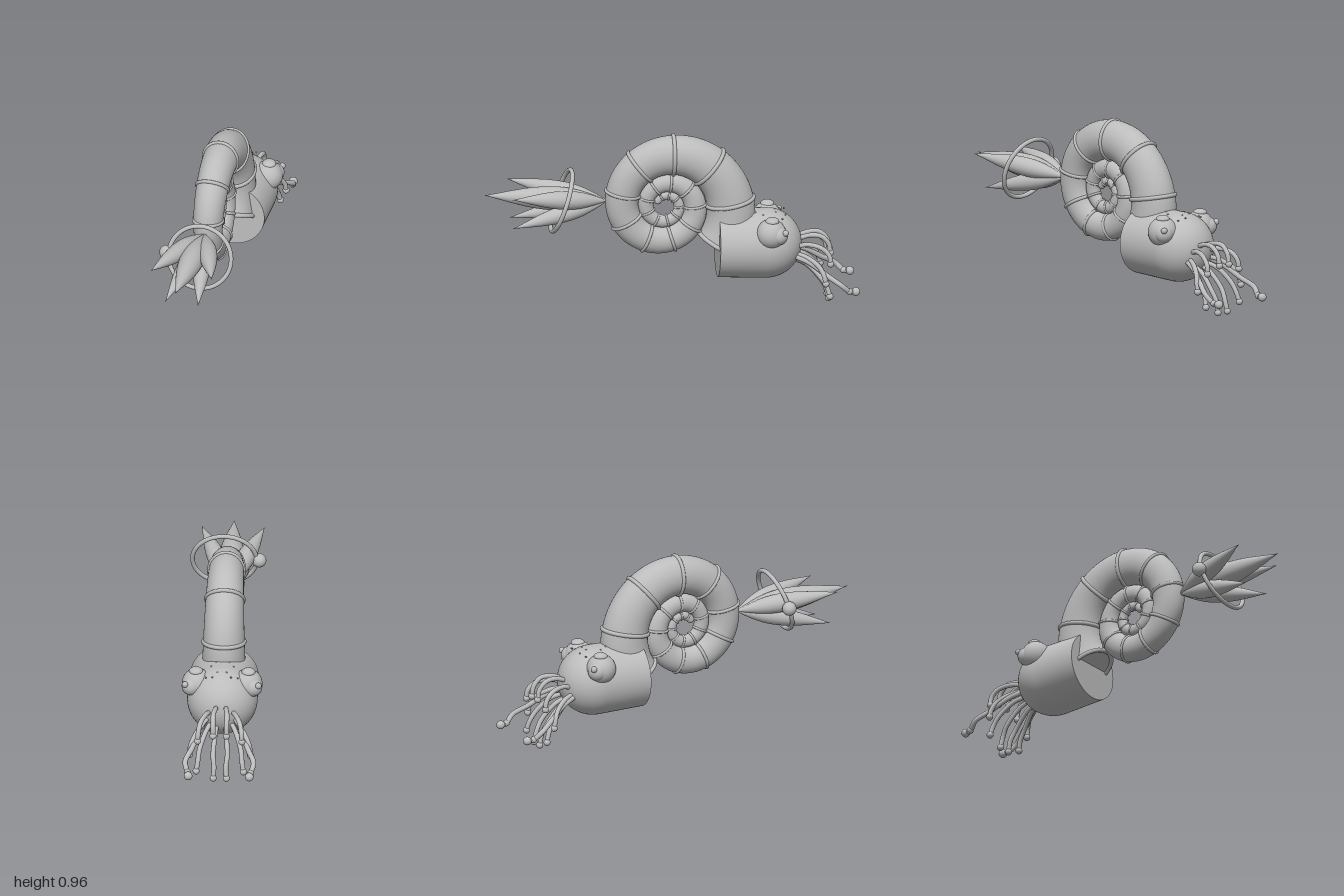
import * as THREE from 'three';

const V = (x, y, z) => new THREE.Vector3(x, y, z);
const X = V(1, 0, 0);
const FLAT = 0.87; // shell tube is slightly narrower sideways

// Point, tube radius and frame of the shell spiral; q counts quarter turns
function spiral(q) {
  const at = (s) => {
    const R = 0.347 * Math.pow(0.82, s), a = s * Math.PI / 2;
    return V(0, 0.56 + R * Math.sin(a), 0.027 - R * Math.cos(a));
  };
  const T = at(q + 0.01).sub(at(q - 0.01)).normalize();
  return { p: at(q), r: 0.128 * Math.pow(0.825, q), T, N: T.clone().cross(X) };
}

// Tapering tube swept along the spiral
function shellGeometry(q0, q1, rows, sides) {
  const pos = [], idx = [];
  for (let i = 0; i <= rows; i++) {
    const { p, r, N } = spiral(q0 + (q1 - q0) * i / rows);
    for (let j = 0; j < sides; j++) {
      const a = j / sides * Math.PI * 2;
      const v = p.clone().addScaledVector(N, r * Math.cos(a)).addScaledVector(X, r * FLAT * Math.sin(a));
      pos.push(v.x, v.y, v.z);
      if (i < rows) {
        const k = (j + 1) % sides, u = i * sides;
        idx.push(u + j, u + sides + j, u + k, u + k, u + sides + j, u + sides + k);
      }
    }
  }
  const g = new THREE.BufferGeometry();
  g.setAttribute('position', new THREE.Float32BufferAttribute(pos, 3));
  g.setIndex(idx);
  g.computeVertexNormals();
  return g;
}

export function createModel() {
  const model = new THREE.Group();
  const grey = new THREE.MeshStandardMaterial({ color: 0xbcbcbc });
  grey.name = 'plain grey';

  const add = (name, geometry, p = V(0, 0, 0), parent = model) => {
    const m = new THREE.Mesh(geometry, grey);
    m.name = name;
    m.position.copy(p);
    parent.add(m);
    return m;
  };
  const ball = (name, r, p) => add(name, new THREE.SphereGeometry(r, 24, 16), p);

  // Coiled shell with raised ribs
  const q0 = -0.41, q1 = 9.6;
  add('shell', shellGeometry(q0, q1, 220, 40));
  const tip = spiral(q1);
  ball('shellTip', tip.r, tip.p).scale.x = FLAT;
  const placeOnSpiral = (mesh, f) => {
    mesh.quaternion.setFromRotationMatrix(new THREE.Matrix4().makeBasis(X, f.N, f.T));
    mesh.scale.set(FLAT, 1, 1);
  };
  for (let q = q0; q < 9.3; q += 0.44) {
    const f = spiral(q);
    placeOnSpiral(add('shellRib', new THREE.TorusGeometry(f.r, 0.004 + f.r * 0.06, 10, 40), f.p), f);
  }
  const mouth = spiral(q0);
  placeOnSpiral(add('shellMouth', new THREE.CircleGeometry(mouth.r, 40).rotateY(Math.PI), mouth.p), mouth);

  // Head: flat at the front, domed at the back
  const dome = [];
  for (let i = 0; i <= 16; i++) {
    const a = i / 16 * Math.PI / 2;
    dome.push(new THREE.Vector2(i === 16 ? 0 : 0.188 * Math.cos(a), 0.26 + 0.19 * Math.sin(a)));
  }
  const head = new THREE.Group();
  head.name = 'head';
  head.position.set(0, 0.339, -0.25);
  head.rotation.x = -0.025;
  model.add(head);
  const wall = [new THREE.Vector2(0.183, 0), ...dome];
  add('headShell', new THREE.LatheGeometry(wall, 56).rotateX(-Math.PI / 2), undefined, head);
  add('headFront', new THREE.CircleGeometry(0.183, 56), undefined, head);

  // Freckles on top of the head
  for (const [x, z] of [[0.025, -0.56], [0.06, -0.49], [0.085, -0.59], [0.035, -0.45], [0.05, -0.61]]) {
    for (const s of [-1, 1]) ball('freckle', 0.005, V(s * x, 0.334 + Math.sqrt(0.186 ** 2 - x * x) * (z < -0.55 ? 0.955 : 1), z));
  }

  // Arms as root, bends and end
  const arms = [
    [V(0.025, 0.35, -0.66), V(0.03, 0.375, -0.74), V(0.037, 0.37, -0.8), V(0.036, 0.33, -0.84), V(0.036, 0.275, -0.852)],
    [V(0.06, 0.325, -0.66), V(0.08, 0.34, -0.73), V(0.105, 0.325, -0.8), V(0.115, 0.285, -0.838), V(0.118, 0.24, -0.845)],
    [V(0.07, 0.29, -0.66), V(0.1, 0.275, -0.72), V(0.138, 0.235, -0.78), V(0.158, 0.19, -0.805), V(0.163, 0.145, -0.815)],
    [V(0.055, 0.26, -0.66), V(0.08, 0.235, -0.72), V(0.11, 0.165, -0.79), V(0.118, 0.11, -0.825), V(0.126, 0.06, -0.84)],
    [V(0.025, 0.245, -0.66), V(0.03, 0.215, -0.72), V(0.038, 0.135, -0.795), V(0.032, 0.08, -0.825), V(0.035, 0.02, -0.84)],
  ];
  const feeler = [V(0.08, 0.28, -0.65), V(0.11, 0.25, -0.73), V(0.15, 0.185, -0.825), V(0.182, 0.14, -0.895), V(0.168, 0.1, -0.94), V(0.163, 0.096, -0.975)];

  for (const s of [-1, 1]) {
    const side = (v) => V(v.x * s, v.y, v.z);
    const limb = (name, pts, r) =>
      add(name, new THREE.TubeGeometry(new THREE.CatmullRomCurve3(pts.map(side)), 32, r, 10));
    for (const pts of arms) {
      limb('arm', pts, 0.013);
      ball('armTip', 0.0185, side(pts[4]));
    }
    limb('feeler', feeler, 0.014);
    ball('feelerTip', 0.023, side(feeler[5]));
    ball('feelerJoint', 0.018, side(feeler[4]));

    // Eye with bulging iris, pupil and a small cap
    ball('eye', 0.08, V(s * 0.135, 0.43, -0.525));
    ball('iris', 0.05, V(s * 0.165, 0.428, -0.562));
    ball('pupil', 0.017, V(s * 0.196, 0.452, -0.596));
    ball('eyeCap', 0.037, V(s * 0.14, 0.502, -0.53)).scale.y = 0.55;
  }

  // Tail: a bundle of pointed petals
  const root = V(0, 0.6, 0.335);
  const petal = (name, end, r) => {
    const dir = end.clone().sub(root), len = dir.length(), profile = [];
    for (let i = 0; i <= 24; i++) {
      const t = i / 24;
      const w = t < 0.42 ? Math.sin(t / 0.42 * Math.PI / 2) : Math.pow(Math.cos((t - 0.42) / 0.58 * Math.PI / 2), 1.15);
      profile.push(new THREE.Vector2(i === 0 || i === 24 ? 0 : Math.max(r * w, 0.004), t * len));
    }
    add(name, new THREE.LatheGeometry(profile, 28), root).quaternion
      .setFromUnitVectors(V(0, 1, 0), dir.normalize());
  };
  petal('middlePetal', V(0, 0.653, 1), 0.064);
  for (const s of [-1, 1]) {
    petal('upperPetal', V(s * 0.168, 0.683, 0.865), 0.05);
    petal('lowerPetal', V(s * 0.09, 0.49, 0.855), 0.046);
  }

  // Tilted hoop around the tail, with a bead
  add('hoop', new THREE.TorusGeometry(0.171, 0.012, 14, 64), V(0.035, 0.622, 0.588)).rotation.x = -0.335;
  ball('hoopBead', 0.038, V(-0.15, 0.622, 0.582));

  return model;
}
